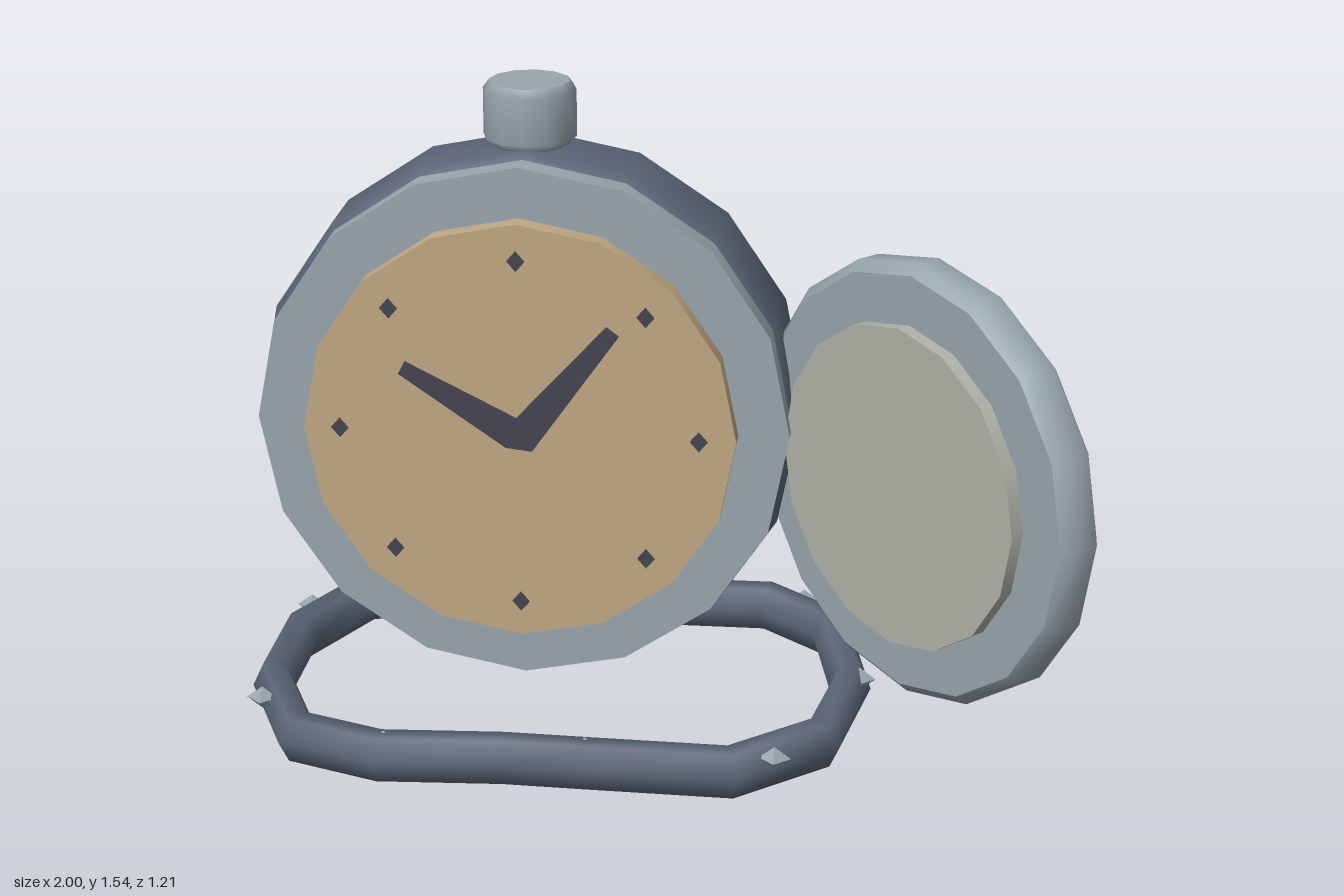
import * as THREE from 'three';
import { mergeGeometries } from 'three/addons/utils/BufferGeometryUtils.js';

const mat = (name, color) => {
  const m = new THREE.MeshStandardMaterial({ color });
  m.name = name;
  return m;
};

// Closed disc along +z: smooth barrel from [radius, z] pairs, flat caps at both ends
function disc(profile, sides = 16) {
  const barrel = new THREE.LatheGeometry(profile.map(([r, z]) => new THREE.Vector2(r, z)), sides);
  barrel.rotateX(Math.PI / 2);
  const [r0, z0] = profile[0];
  const [r1, z1] = profile[profile.length - 1];
  const back = new THREE.CircleGeometry(r0, sides).rotateY(Math.PI).translate(0, 0, z0);
  const front = new THREE.CircleGeometry(r1, sides).translate(0, 0, z1);
  return mergeGeometries([barrel, back, front]);
}

// Hexagonal tube swept along a closed path lying flat, with mitred corners
function flatLoop(path, y, halfWidth, halfHeight) {
  const pts = path.map(([x, z]) => new THREE.Vector2(x, z));
  const n = pts.length, pos = [], idx = [];
  const section = [[1, 0], [0.5, 1], [-0.5, 1], [-1, 0], [-0.5, -1], [0.5, -1]];
  pts.forEach((p, i) => {
    const a = p.clone().sub(pts[(i + n - 1) % n]).normalize();
    const b = pts[(i + 1) % n].clone().sub(p).normalize();
    const t = a.clone().add(b).normalize();
    const w = halfWidth / t.dot(a);
    for (const [u, v] of section) pos.push(p.x + t.y * u * w, y + v * halfHeight, p.y - t.x * u * w);
    for (let k = 0; k < 6; k++) {
      const k2 = (k + 1) % 6, j = ((i + 1) % n) * 6;
      idx.push(i * 6 + k, i * 6 + k2, j + k, i * 6 + k2, j + k2, j + k);
    }
  });
  const g = new THREE.BufferGeometry();
  g.setAttribute('position', new THREE.Float32BufferAttribute(pos, 3));
  g.setIndex(idx);
  g.computeVertexNormals();
  return g;
}

export function createModel() {
  const slate = mat('slate metal', 0x5b6678);
  const steel = mat('pale steel', 0x98a6ad);
  const tan = mat('tan dial', 0xc0a882);
  const glass = mat('lid lining', 0xb0b2a8);
  const ink = mat('dark ink', 0x434450);
  const stud = steel;

  const model = new THREE.Group();
  model.name = 'pocketWatch';
  const add = (parent, name, geo, material, x = 0, y = 0, z = 0) => {
    const m = new THREE.Mesh(geo, material);
    m.name = name;
    m.position.set(x, y, z);
    parent.add(m);
    return m;
  };

  // Case, bezel and dial
  const watch = new THREE.Group();
  watch.name = 'watch';
  watch.position.set(-0.33, 0.75, 0);
  model.add(watch);
  add(watch, 'case', disc([[0.595, -0.275], [0.645, -0.225], [0.645, -0.035], [0.62, -0.01]]), slate);
  add(watch, 'bezel', disc([[0.63, -0.015], [0.63, 0.05]]), steel);
  add(watch, 'dial', disc([[0.51, 0.045], [0.51, 0.1]]), tan);

  // Hour marks
  for (let i = 0; i < 8; i++) {
    const a = (i * Math.PI) / 4;
    const mark = new THREE.CircleGeometry(0.025, 4).scale(0.85, 1, 1);
    add(watch, 'hourMark', mark, ink, 0.423 * Math.sin(a), 0.423 * Math.cos(a), 0.104);
  }

  // Both hands as one thin plate
  const hands = new THREE.Shape([
    [-0.28, 0.14], [-0.265, 0.17], [-0.005, 0.04], [0.208, 0.272],
    [0.237, 0.25], [0.032, -0.04], [-0.03, -0.033],
  ].map(([x, y]) => new THREE.Vector2(x, y)));
  add(watch, 'hands', new THREE.ExtrudeGeometry(hands, { depth: 0.007, bevelEnabled: false }), ink, 0, 0, 0.1);

  // Winding crown
  const crown = disc([[0.09, 0], [0.11, 0.02], [0.11, 0.13], [0.095, 0.15]], 12).rotateX(-Math.PI / 2);
  add(model, 'crown', crown, steel, -0.33, 1.387, -0.14);

  // Lid swung open on its hinge side
  const lid = new THREE.Group();
  lid.name = 'lid';
  lid.position.set(0.615, 0.725, 0.212);
  lid.rotation.y = -Math.PI / 4;
  model.add(lid);
  add(lid, 'lidShell', disc([[0.495, -0.055], [0.52, -0.03], [0.52, 0.03], [0.495, 0.055]]), steel);
  add(lid, 'lidLining', disc([[0.38, 0.05], [0.38, 0.088]]), glass);

  // Chain loop lying on the ground
  const path = [
    [-0.83, -0.485], [-0.62, -0.56], [-0.33, -0.535], [-0.1, -0.545], [0.205, -0.55],
    [0.38, -0.4], [0.445, -0.08], [0.395, 0.225], [0.2, 0.4], [-0.12, 0.395],
    [-0.33, 0.39], [-0.62, 0.41], [-0.83, 0.335], [-0.95, 0.06], [-0.95, -0.23],
  ];
  add(model, 'chain', flatLoop(path, 0.055, 0.05, 0.055), slate);

  // Small studs along the chain
  const studs = [
    [-0.61, -0.545], [-0.14, -0.525], [0.3, -0.525], [0.47, -0.07], [0.3, 0.38],
    [-0.14, 0.38], [-0.61, 0.4], [-0.945, 0.2], [-0.945, -0.35],
  ];
  for (const [x, z] of studs) {
    add(model, 'chainStud', new THREE.OctahedronGeometry(0.038).scale(1, 0.75, 0.9), stud, x, 0.086, z);
  }
  return model;
}
